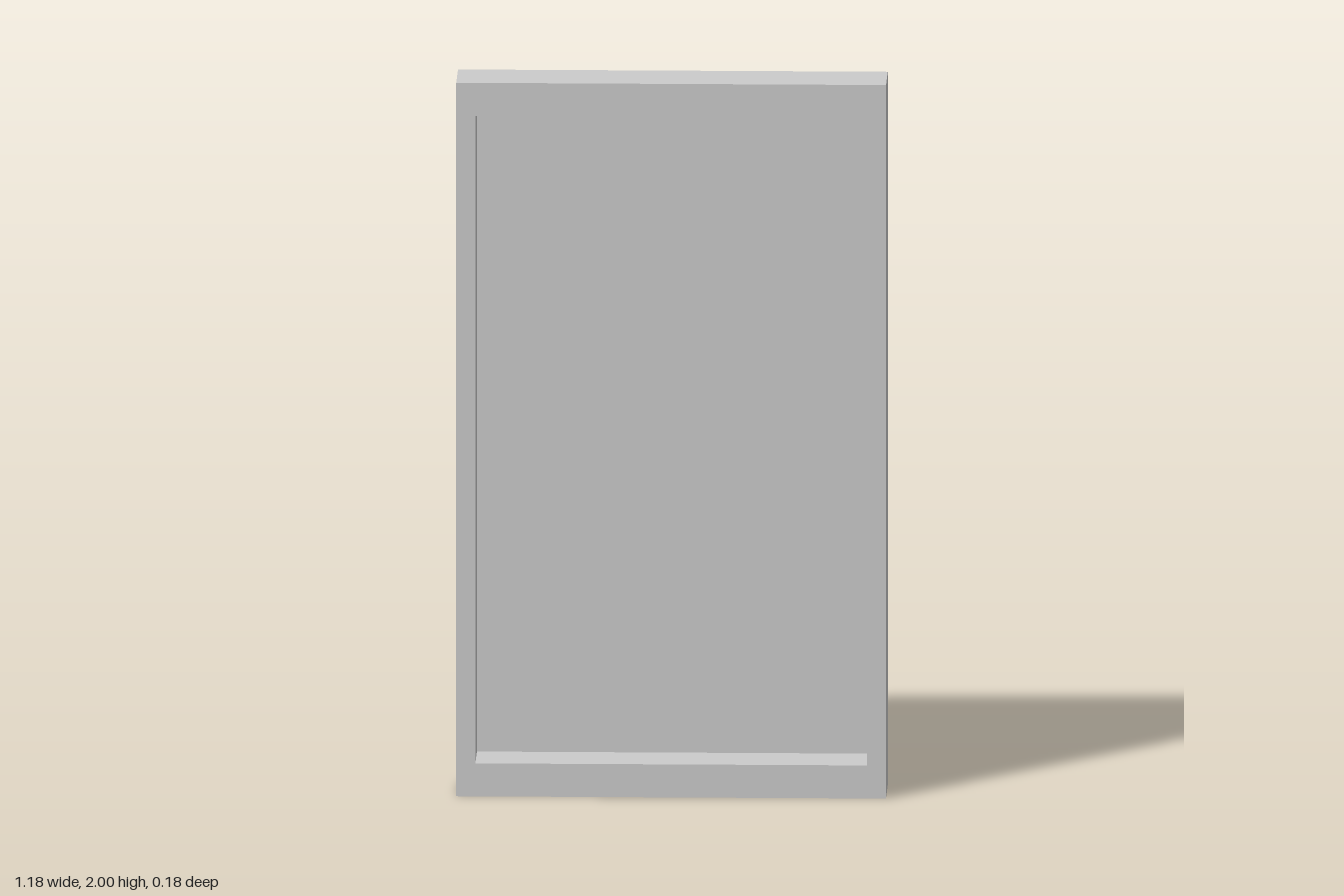
import * as THREE from 'three';

const material = new THREE.MeshStandardMaterial({ color: 0xcccccc, side: THREE.DoubleSide });

// Overall sizes of the thin-walled frame
const W = 1.18, H = 2, FRONT = 0.09, BACK = -0.09;
// Recessed tray inside it
const TRAY_W = 1.075, TRAY_H = 1.815, PANEL_Z = -0.07;

function rectangle(Type, w, h) {
  const path = new Type();
  path.moveTo(-w / 2, -h / 2);
  path.lineTo(w / 2, -h / 2);
  path.lineTo(w / 2, h / 2);
  path.lineTo(-w / 2, h / 2);
  path.closePath();
  return path;
}

function addPart(parent, name, geometry) {
  const mesh = new THREE.Mesh(geometry, material);
  mesh.name = name;
  parent.add(mesh);
  return mesh;
}

// Four thin walls round a rectangle, facing outward, between two depths
function addWalls(parent, name, w, h, z0, z1) {
  const walls = new THREE.Group();
  walls.name = name;
  const depth = z1 - z0, z = (z0 + z1) / 2;
  for (const s of [1, -1]) {
    const side = addPart(walls, s > 0 ? 'leftWall' : 'rightWall', new THREE.PlaneGeometry(depth, h));
    side.rotation.y = s * Math.PI / 2;
    side.position.set(s * w / 2, 0, z);
    const level = addPart(walls, s > 0 ? 'topWall' : 'bottomWall', new THREE.PlaneGeometry(w, depth));
    level.rotation.x = -s * Math.PI / 2;
    level.position.set(0, s * h / 2, z);
  }
  parent.add(walls);
}

export function createModel() {
  const model = new THREE.Group();
  model.name = 'shallowFrame';
  const body = new THREE.Group();
  body.name = 'body';
  body.position.y = H / 2;
  model.add(body);

  // Outer casing, open at the back
  addWalls(body, 'outerWalls', W, H, BACK, FRONT);

  // Front border round the opening
  const border = rectangle(THREE.Shape, W, H);
  border.holes.push(rectangle(THREE.Path, TRAY_W, TRAY_H));
  addPart(body, 'frontBorder', new THREE.ShapeGeometry(border)).position.z = FRONT;

  // Recess walls and the panel closing them
  addWalls(body, 'recessWalls', TRAY_W, TRAY_H, PANEL_Z, FRONT);
  addPart(body, 'backPanel', new THREE.PlaneGeometry(TRAY_W, TRAY_H)).position.z = PANEL_Z;

  return model;
}
